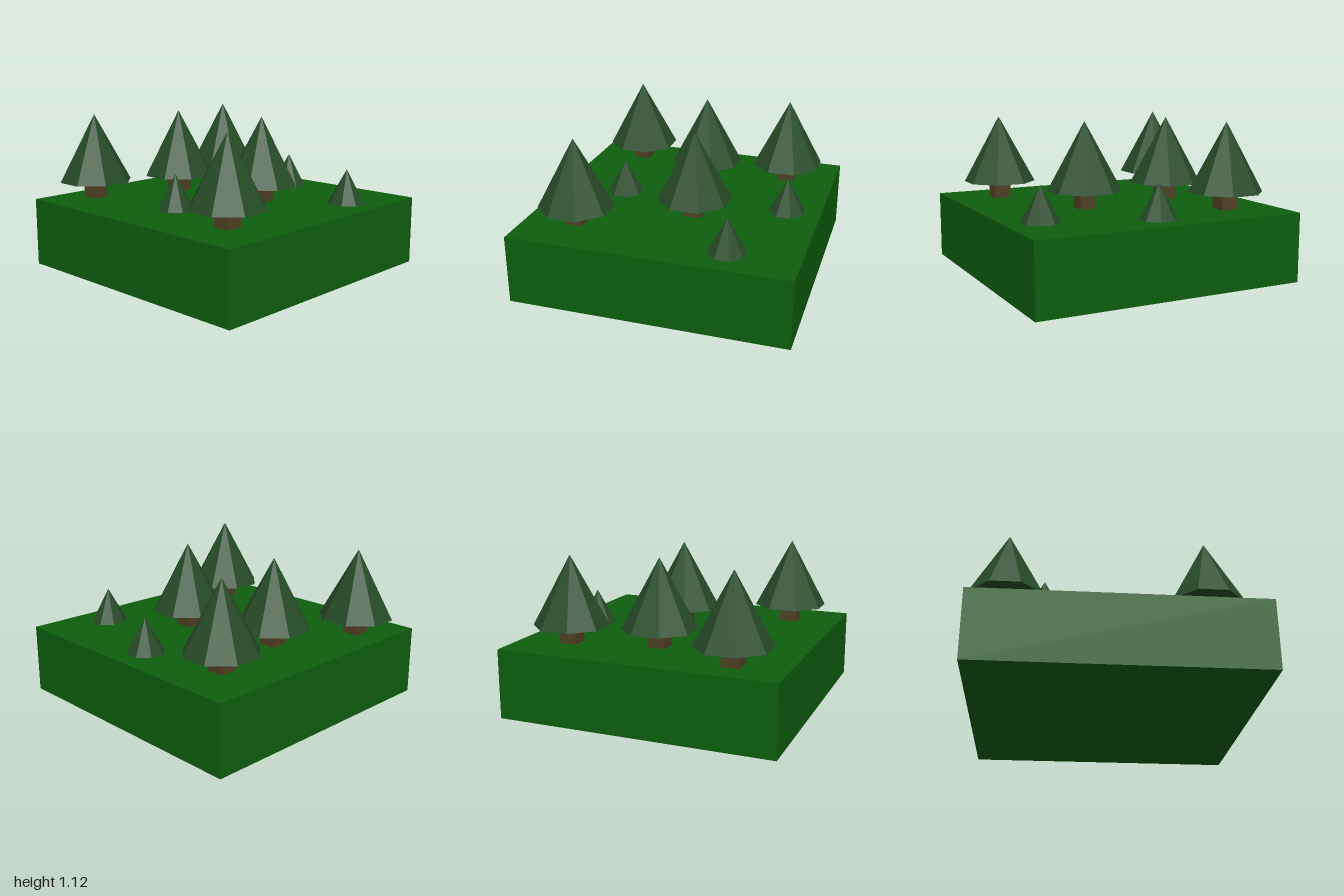
import * as THREE from 'three';

const mat = (name, color, flatShading = false) => {
  const m = new THREE.MeshStandardMaterial({ color, flatShading });
  m.name = name;
  return m;
};

export function createModel() {
  const grass = mat('grass green', 0x0e5e0e);
  const needles = mat('needle green', 0x254b27, true);
  const bark = mat('bark brown', 0x4f4023);

  const model = new THREE.Group();
  model.name = 'forestTile';

  const add = (parent, name, geometry, material, y) => {
    const mesh = new THREE.Mesh(geometry, material);
    mesh.name = name;
    mesh.position.y = y;
    parent.add(mesh);
  };

  // Eight-sided cone with flat sides facing the axes; halfWidth is centre to flat side
  const crown = (halfWidth, height) =>
    new THREE.ConeGeometry(halfWidth / Math.cos(Math.PI / 8), height, 8).rotateY(Math.PI / 8);

  // Ground block
  add(model, 'ground', new THREE.BoxGeometry(2, 0.5, 2), grass, 0.25);

  // Tall trees: square trunk and crown
  const trunkGeo = new THREE.BoxGeometry(0.125, 0.125, 0.125);
  const tallGeo = crown(0.25, 0.5);
  for (const [x, z] of [[-0.625, -0.75], [0, -0.5], [0.625, -0.625], [0.125, 0.25], [-0.625, 0.625]]) {
    const tree = new THREE.Group();
    tree.name = 'tallTree';
    tree.position.set(x, 0.5, z);
    add(tree, 'trunk', trunkGeo, bark, 0.0625);
    add(tree, 'crown', tallGeo, needles, 0.375);
    model.add(tree);
  }

  // Saplings: crown standing directly on the ground
  const smallGeo = crown(0.125, 0.25);
  for (const [x, z] of [[-0.5, 0], [0.75, 0], [0.5, 0.75]]) {
    const sapling = new THREE.Group();
    sapling.name = 'sapling';
    sapling.position.set(x, 0.5, z);
    add(sapling, 'crown', smallGeo, needles, 0.125);
    model.add(sapling);
  }

  return model;
}
